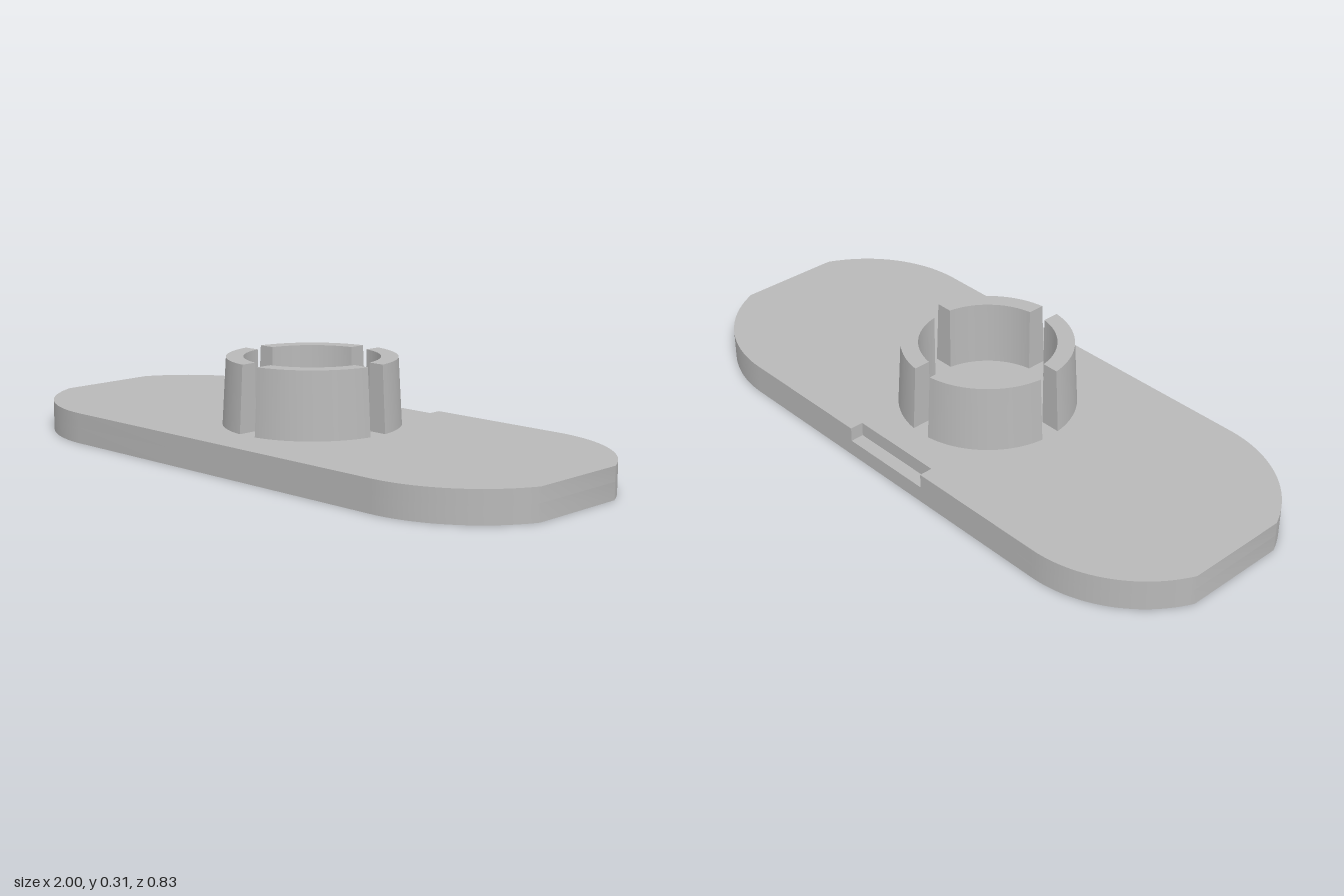
import * as THREE from 'three';
import { toCreasedNormals } from 'three/addons/utils/BufferGeometryUtils.js';

const HALF_LENGTH = 1, HALF_DEPTH = 0.413, END_CENTRE = 0.622;
const PLATE_TOP = 0.097, NOTCH_FLOOR = 0.052;
const COLLAR_TOP = 0.305, INNER = 0.21, OUTER = 0.275, OUTER_TOP = 0.263, HALF_GAP = 0.032;

// Extrude a plan shape upwards; shape +y becomes -z
function slab(shape, y, height) {
  const geo = new THREE.ExtrudeGeometry(shape, { depth: height, bevelEnabled: false, curveSegments: 20 });
  geo.rotateX(-Math.PI / 2);
  geo.translate(0, y, 0);
  return geo;
}

// Rounded plate with its two ends cut flat, and an optional notch in the back edge
function plateShape(notched) {
  const end = Math.acos((HALF_LENGTH - END_CENTRE) / HALF_DEPTH);
  const s = new THREE.Shape();
  s.moveTo(-END_CENTRE, -HALF_DEPTH);
  s.lineTo(END_CENTRE, -HALF_DEPTH);
  s.absarc(END_CENTRE, 0, HALF_DEPTH, -Math.PI / 2, -end, false);
  s.absarc(END_CENTRE, 0, HALF_DEPTH, end, Math.PI / 2, false);
  if (notched) {
    s.lineTo(0.158, HALF_DEPTH);
    s.lineTo(0.158, 0.37);
    s.lineTo(-0.158, 0.37);
    s.lineTo(-0.158, HALF_DEPTH);
  }
  s.absarc(-END_CENTRE, 0, HALF_DEPTH, Math.PI / 2, Math.PI - end, false);
  s.absarc(-END_CENTRE, 0, HALF_DEPTH, Math.PI + end, Math.PI * 1.5, false);
  return s;
}

// Quarter of the collar, with straight gap walls and a tapered outside
function collarGeometry() {
  const start = (r) => Math.asin(HALF_GAP / r);
  const s = new THREE.Shape();
  s.absarc(0, 0, OUTER, start(OUTER), Math.PI / 2 - start(OUTER), false);
  s.absarc(0, 0, INNER, Math.PI / 2 - start(INNER), start(INNER), true);
  const geo = slab(s, PLATE_TOP, COLLAR_TOP - PLATE_TOP);
  const p = geo.attributes.position;
  const mid = Math.PI / 4;
  const spread = (mid - start(OUTER_TOP)) / (mid - start(OUTER));
  for (let i = 0; i < p.count; i++) {
    const x = p.getX(i), z = p.getZ(i);
    if (p.getY(i) < COLLAR_TOP - 0.01 || Math.hypot(x, z) < 0.25) continue;
    const a = mid + (Math.atan2(-z, x) - mid) * spread;
    p.setX(i, OUTER_TOP * Math.cos(a));
    p.setZ(i, -OUTER_TOP * Math.sin(a));
  }
  return toCreasedNormals(geo, 0.5);
}

export function createModel() {
  const group = new THREE.Group();
  const grey = new THREE.MeshStandardMaterial({ color: 0xb8b8b8 });
  grey.name = 'grey';
  const add = (name, geo) => {
    const mesh = new THREE.Mesh(geo, grey);
    mesh.name = name;
    group.add(mesh);
    return mesh;
  };

  // Base plate: full lower layer, notched upper layer
  add('plateLower', toCreasedNormals(slab(plateShape(false), 0, NOTCH_FLOOR), 0.5));
  add('plateUpper', toCreasedNormals(slab(plateShape(true), NOTCH_FLOOR, PLATE_TOP - NOTCH_FLOOR), 0.5));

  // Split collar of four segments
  const segment = collarGeometry();
  for (let i = 0; i < 4; i++) add('collarSegment' + (i + 1), segment).rotation.y = i * Math.PI / 2;

  return group;
}
